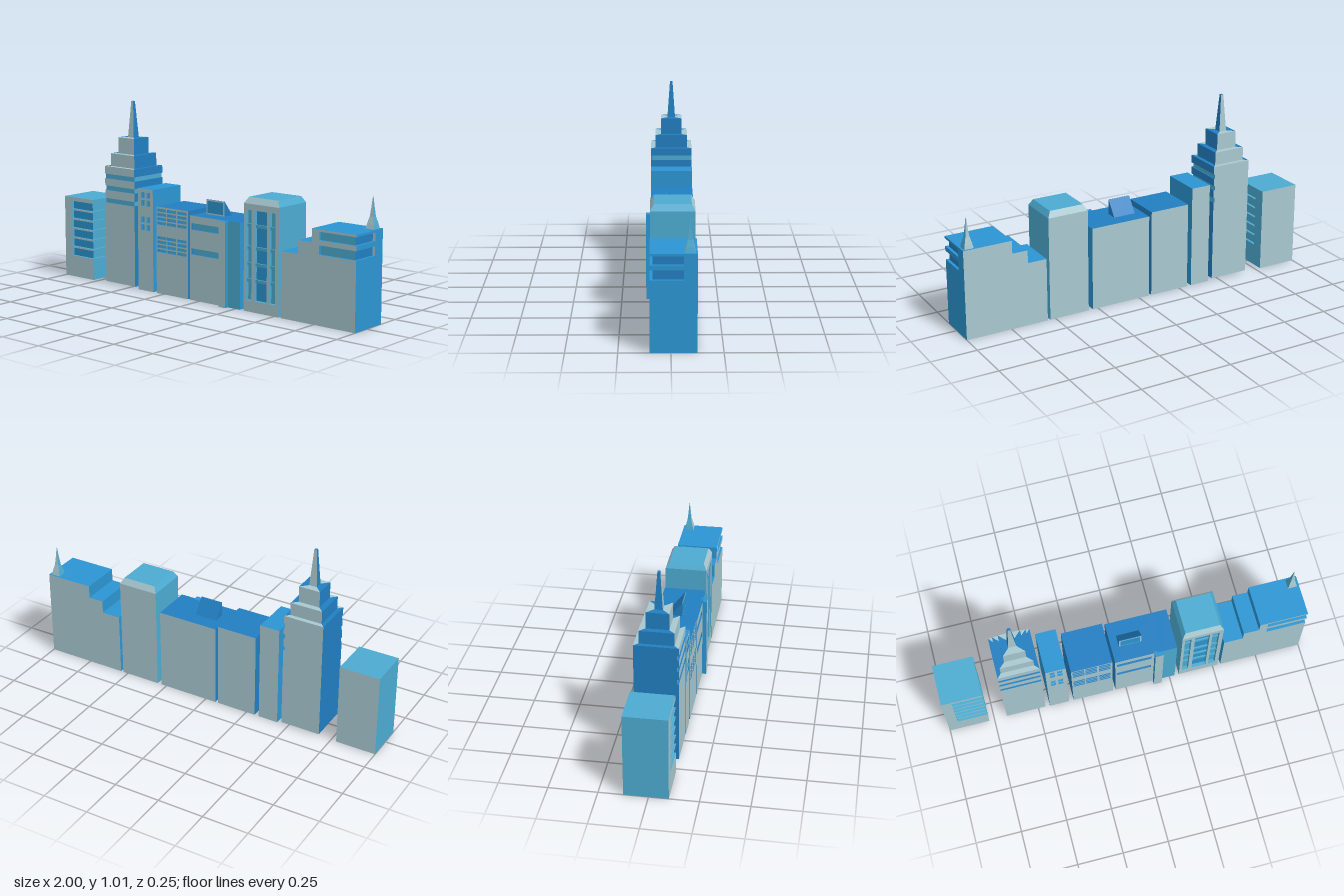
import * as THREE from 'three';

const mat = (name, color) => {
  const m = new THREE.MeshStandardMaterial({ color });
  m.name = name;
  return m;
};
const BACK = -0.125, FRONT = 0.1;

export function createModel() {
  const stone = mat('pale stone', 0xa8c8d0);
  const light = mat('light blue', 0x4cabd1);
  const mid = mat('mid blue', 0x2b95d2);
  const dark = mat('deep blue', 0x217ec1);
  const model = new THREE.Group();

  const group = (name) => {
    const g = new THREE.Group();
    g.name = name;
    model.add(g);
    return g;
  };
  const add = (parent, name, geo, material) => {
    const m = new THREE.Mesh(geo, material);
    m.name = name;
    parent.add(m);
    return m;
  };

  // Box given by its limits, with separate side, front, back and left colours
  const block = (parent, name, [x0, x1], [y0, y1], [z0, z1], side, o = {}) => {
    const geo = new THREE.BoxGeometry(x1 - x0, y1 - y0, z1 - z0);
    geo.translate((x0 + x1) / 2, (y0 + y1) / 2, (z0 + z1) / 2);
    return add(parent, name, geo,
      [o.px ?? side, o.nx ?? side, side, o.bottom ?? side, o.front ?? stone, o.back ?? stone]);
  };

  // Stacked rectangular rings [half width, half depth, y]; two colours by direction
  const loft = (parent, name, cx, cz, rings, side, top) => {
    const pos = [], geo = new THREE.BufferGeometry();
    const corner = ([w, d, y], k) => [cx + [-w, w, w, -w][k % 4], y, cz + [d, d, -d, -d][k % 4]];
    const quad = (a, b, c, d) => pos.push(...a, ...b, ...c, ...a, ...c, ...d);
    const n = rings.length - 1;
    for (const k of [0, 2, 1, 3]) {
      for (let i = 0; i < n; i++) {
        quad(corner(rings[i], k), corner(rings[i], k + 1),
          corner(rings[i + 1], k + 1), corner(rings[i + 1], k));
      }
    }
    quad(...[0, 1, 2, 3].map((k) => corner(rings[n], k)));
    quad(...[3, 2, 1, 0].map((k) => corner(rings[0], k)));
    geo.setAttribute('position', new THREE.Float32BufferAttribute(pos, 3));
    geo.computeVertexNormals();
    geo.addGroup(0, n * 12, 0);
    geo.addGroup(n * 12, n * 12, 1);
    geo.addGroup(n * 24, 12, 2);
    return add(parent, name, geo, [stone, side, top]);
  };

  const rectPath = (Type, x0, x1, y0, y1) => new Type([[x0, y0], [x1, y0], [x1, y1], [x0, y1]]
    .map(([x, y]) => new THREE.Vector2(x, y)));

  // Building with window openings [x0, x1, y0, y1, pane] cut into its front wall
  const facade = (parent, [x0, x1], height, side, openings, depth = 0.015) => {
    const shape = rectPath(THREE.Shape, x0, x1, 0, height);
    for (const [a, b, c, d, pane] of openings) {
      shape.holes.push(rectPath(THREE.Path, a, b, c, d));
      const p = new THREE.PlaneGeometry(b - a, d - c);
      p.translate((a + b) / 2, (c + d) / 2, FRONT - depth + 0.001);
      add(parent, 'windowPane', p, pane);
    }
    const wall = new THREE.ExtrudeGeometry(shape, { depth, bevelEnabled: false });
    wall.translate(0, 0, FRONT - depth);
    add(parent, 'frontWall', wall, [stone, side]);
    block(parent, 'body', [x0, x1], [0, height], [BACK, FRONT - depth], side);
  };

  // Storeys with deep corner slots open to the front and the +x side
  const slotted = (parent, [x0, x1], xs, height, slots, side, paneFront, paneSide, bottom) => {
    let y = 0;
    for (const [a, b] of [...slots, [height, height]]) {
      block(parent, 'storey', [x0, x1], [y, a], [BACK, FRONT], side,
        { bottom: y === 0 ? bottom : side });
      if (b > a) {
        block(parent, 'slotRear', [x0, x1], [a, b], [BACK, -0.06], side);
        if (xs > x0) block(parent, 'slotEnd', [x0, xs], [a, b], [-0.06, FRONT], side);
        block(parent, 'slotWindow', [xs, x1 - 0.015], [a, b], [-0.06, FRONT - 0.015], side,
          { px: paneSide, front: paneFront });
      }
      y = b;
    }
  };

  // Corner-window block
  const slots = [];
  for (let i = 0; i < 6; i++) slots.push([0.12 + i * 0.0537, 0.165 + i * 0.0537]);
  slotted(group('cornerWindowBlock'), [-1, -0.78], -0.945, 0.455, slots, light, mid, light, stone);

  // Stepped tower with ribbon windows and a tapered spire
  const tower = group('steppedTower');
  let y = 0.01;
  for (const [a, b] of [[0.455, 0.48], [0.525, 0.55], [0.59, 0.615]]) {
    block(tower, 'shaft', [-0.68, -0.46], [y, a], [BACK, FRONT], dark);
    block(tower, 'ribbonWindow', [-0.68, -0.467], [a, b], [BACK, 0.092], dark,
      { px: light, front: light });
    y = b;
  }
  loft(tower, 'crown', -0.57, -0.0125, [
    [0.11, 0.1125, y], [0.11, 0.1125, 0.657], [0.088, 0.088, 0.657], [0.088, 0.088, 0.727],
    [0.058, 0.058, 0.727], [0.058, 0.058, 0.815], [0.021, 0.021, 0.815], [0.007, 0.007, 1.014],
  ], dark, dark);

  // Narrow block with paired windows
  const narrow = [];
  for (const x of [-0.412, -0.372]) {
    for (const b of [0.332, 0.374, 0.465, 0.508]) narrow.push([x, x + 0.026, b, b + 0.034, light]);
  }
  facade(group('narrowBlock'), [-0.435, -0.325], 0.56, mid, narrow);

  // Wide block with two grids of low windows
  const grid = [];
  for (const x of [-0.292, -0.222, -0.149]) {
    for (const base of [0.228, 0.378]) {
      for (let i = 0; i < 4; i++) {
        const b = base + i * 0.0235;
        grid.push([x, x + 0.063, b, b + 0.016, light]);
      }
    }
  }
  facade(group('gridWindowBlock'), [-0.3, -0.075], 0.475, dark, grid);

  // Low block with ribbon windows, a glazed bay, a fin and a roof hatch
  const low = group('ribbonBlock');
  facade(low, [-0.06, 0.2], 0.455, dark,
    [[-0.05, 0.14, 0.247, 0.28, light], [-0.05, 0.14, 0.38, 0.415, light]]);
  block(low, 'glazedBay', [0.2, 0.28], [0, 0.455], [BACK, FRONT], dark, { front: light, px: mid });
  block(low, 'fin', [0.155, 0.2], [0, 0.455], [FRONT - 0.01, 0.123], mid);
  const wedge = new THREE.Shape([[-0.014, 0.455], [0.047, 0.455], [-0.014, 0.535]]
    .map(([z, h]) => new THREE.Vector2(z, h)));
  const hatch = new THREE.ExtrudeGeometry(wedge, { depth: 0.124, bevelEnabled: false });
  hatch.rotateY(Math.PI / 2);
  hatch.translate(-0.018, 0, 0);
  add(low, 'roofHatch', hatch, dark);
  block(low, 'hatchFrame', [-0.018, 0.106], [0.455, 0.535], [0.0135, 0.0165], dark);
  block(low, 'hatchWindow', [-0.009, 0.097], [0.463, 0.527], [0.016, 0.018], mid, { front: mid });

  // Tall block with vertical window strips and a bevelled top
  const strips = group('stripWindowBlock');
  const columns = [[0.32, 0.355, light], [0.375, 0.455, mid], [0.47, 0.508, light]];
  facade(strips, [0.305, 0.53], 0.562, light, columns.map(([a, b, m]) => [a, b, 0.06, 0.53, m]), 0.02);
  for (const [a, b] of columns) {
    for (const h of [0.155, 0.24, 0.325, 0.44]) {
      block(strips, 'crossBar', [a, b], [h, h + 0.016], [0.08, 0.09], light, { front: light });
    }
  }
  loft(strips, 'bevelledTop', 0.4175, -0.0125,
    [[0.1125, 0.1125, 0.562], [0.094, 0.094, 0.594]], light, light);

  // Terraced block with corner slots and a small flared spire
  const terrace = group('terracedBlock');
  block(terrace, 'lowTerrace', [0.545, 0.65], [0, 0.345], [BACK, FRONT], mid);
  block(terrace, 'midTerrace', [0.65, 0.735], [0, 0.415], [BACK, FRONT], mid);
  block(terrace, 'highTerrace', [0.735, 0.78], [0, 0.485], [BACK, FRONT], mid);
  slotted(terrace, [0.78, 1], 0.78, 0.485, [[0.357, 0.405], [0.43, 0.473]], mid, light, dark, mid);
  loft(terrace, 'smallSpire', 0.963, -0.09, [
    [0.025, 0.025, 0.485], [0.02, 0.02, 0.51], [0.011, 0.011, 0.545],
    [0.006, 0.006, 0.59], [0.001, 0.001, 0.645],
  ], light, stone);

  return model;
}
